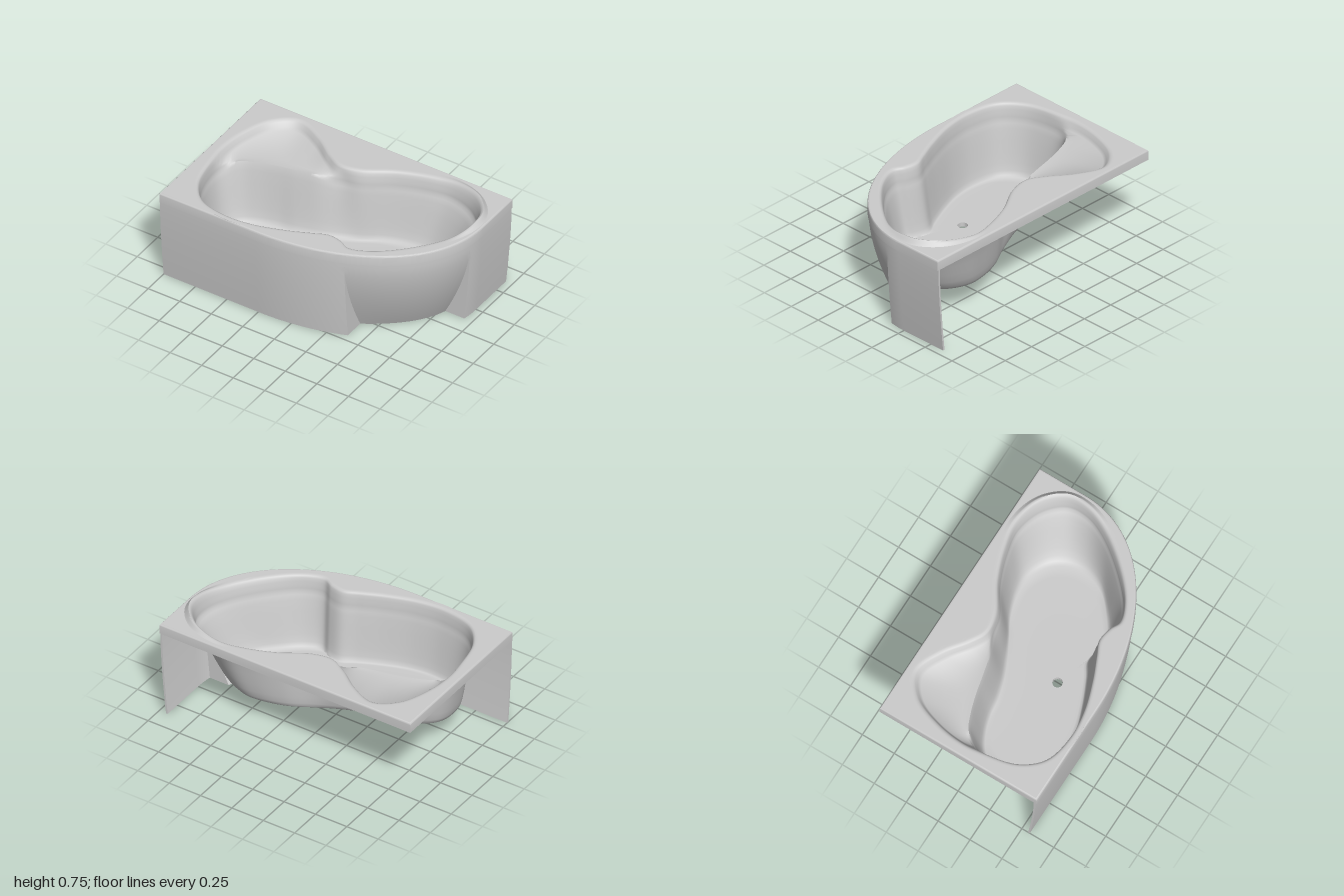
import * as THREE from 'three';
import { toCreasedNormals } from 'three/addons/utils/BufferGeometryUtils.js';

const { lerp, smoothstep } = THREE.MathUtils;
const material = new THREE.MeshStandardMaterial({ color: 0xcccccc, side: THREE.DoubleSide });
const TOP = 0.715, LIP = 0.64, FLOOR = 0.195, HALF = 0.615, STATIONS = 216;

// Rounded outer corner in plan, from the front to the right side
const corner = new THREE.CubicBezierCurve(
  new THREE.Vector2(-0.25, HALF), new THREE.Vector2(0.45, HALF),
  new THREE.Vector2(1, 0.25), new THREE.Vector2(1, -0.25));

// Paired plan stations (x, z): basin rim, top edge of the wall, edge of the floor
const rimXZ = [-.905, .13, -.92, -.03, -.89, -.24, -.8, -.45, -.65, -.55, -.45, -.475, -.29, -.36,
  -.165, -.295, -.02, -.32, .19, -.44, .41, -.52, .6, -.55, .8, -.49, .925, -.35, .935, -.19, .86, 0,
  .67, .24, .5, .375, .37, .42, .29, .385, .19, .37, .08, .415, -.07, .48, -.29, .55, -.5, .57,
  -.72, .52, -.85, .37];
const edgeXZ = [-.885, .13, -.86, .03, -.79, -.05, -.68, -.1, -.55, -.14, -.42, -.17, -.27, -.21,
  -.13, -.27, 0, -.3, .2, -.42, .41, -.495, .58, -.52, .77, -.46, .895, -.33, .905, -.18, .835, -.01,
  .65, .225, .49, .36, .362, .4, .285, .365, .19, .352, .08, .4, -.07, .465, -.29, .535, -.49, .555,
  -.71, .505, -.835, .36];
const floorXZ = [-.785, .2, -.765, .1, -.72, .04, -.62, -.02, -.5, -.06, -.37, -.08, -.23, -.12,
  -.1, -.175, .03, -.245, .16, -.315, .31, -.36, .45, -.365, .6, -.29, .67, -.18, .685, -.05, .63, .1,
  .49, .23, .4, .29, .32, .32, .25, .29, .16, .28, .06, .335, -.13, .42, -.3, .475, -.47, .49,
  -.65, .45, -.765, .33];

function sampleLoop(xz) {
  const points = [];
  for (let i = 0; i < xz.length; i += 2) points.push(new THREE.Vector3(xz[i], 0, xz[i + 1]));
  const curve = new THREE.CatmullRomCurve3(points, true);
  return Array.from({ length: STATIONS }, (_, i) => curve.getPoint(i / STATIONS));
}

// Surface through a list of closed rings with equal point counts
function loft(rings, crease) {
  const n = rings[0].length, index = [];
  for (let i = 0; i < rings.length - 1; i++) {
    for (let j = 0; j < n; j++) {
      const a = i * n + j, b = i * n + (j + 1) % n, c = a + n, d = b + n;
      index.push(a, c, b, b, c, d);
    }
  }
  const geometry = new THREE.BufferGeometry().setFromPoints(rings.flat());
  geometry.setIndex(index);
  return toCreasedNormals(geometry, crease);
}

function part(name, geometry) {
  const mesh = new THREE.Mesh(geometry, material);
  mesh.name = name;
  return mesh;
}

// Clockwise deck outline, inset by d
function outline(d) {
  const list = [[-1 + d, HALF - d], [-1 + d, -HALF + d], [1 - d, -HALF + d]]
    .map(([x, z]) => new THREE.Vector2(x, z));
  for (let i = 48; i >= 0; i--) {
    const g = corner.getTangent(i / 48);
    list.push(corner.getPoint(i / 48).addScaledVector(new THREE.Vector2(g.y, -g.x), d));
  }
  return list;
}

// Basin: raised lip, side shelf, walls and floor down to the drain hole
function basinRings() {
  const rim = sampleLoop(rimXZ), edge = sampleLoop(edgeXZ), floor = sampleLoop(floorXZ);
  const drain = new THREE.Vector3(-0.06, FLOOR, 0.19);
  const rings = [];
  const addRing = (fn) => rings.push(rim.map((_, j) => fn(j)));
  const normal = rim.map((_, j) => {
    const t = rim[(j + 1) % STATIONS].clone().sub(rim[(j + STATIONS - 1) % STATIONS]).normalize();
    return new THREE.Vector3(t.z, 0, -t.x);
  });
  const bump = (p) => 0.037 * smoothstep(p.x, 0.45, 0.93) * smoothstep(-p.z, -0.02, 0.33);
  const gap = rim.map((p, j) => p.distanceTo(edge[j]));
  const shelf = gap.map((d) => smoothstep(d, 0.03, 0.2));

  // lip, rising behind the head end
  for (const [offset, y, rise] of [[0.04, TOP, 0], [0.032, TOP, 0.2], [0.022, TOP, 0.65], [0.011, TOP - 0.001, 1], [0, TOP - 0.006, 1]]) {
    addRing((j) => rim[j].clone().addScaledVector(normal[j], offset).setY(y + rise * bump(rim[j])));
  }
  // drop from the lip: onto the shelf where it is wide, straight into the wall elsewhere
  for (const [reach, share, wallY, shelfY, rise] of [
    [0.012, 0.35, 0.695, 0.702, 0.8], [0.028, 0.6, 0.67, 0.672, 0.5], [0.05, 0.78, 0.645, 0.652, 0.3],
    [9, 0.85, 0.635, 0.64, 0.2], [9, 0.93, 0.618, 0.64, 0.1], [9, 1, 0.59, 0.642, 0]]) {
    addRing((j) => rim[j].clone().lerp(edge[j], Math.min(reach / gap[j], share))
      .setY(lerp(wallY, shelfY, shelf[j]) + rise * bump(rim[j])));
  }
  // wall and floor fillet
  for (const [f, h] of [[0.07, 0.955], [0.16, 0.86], [0.32, 0.65], [0.48, 0.43], [0.63, 0.24], [0.76, 0.105], [0.88, 0.03], [1, 0.004]]) {
    addRing((j) => edge[j].clone().lerp(floor[j], f)
      .setY(lerp(FLOOR, lerp(0.59, 0.642, shelf[j]), h)));
  }
  // floor
  for (const f of [0.1, 0.5, 1]) {
    addRing((j) => {
      const foot = floor[j].clone().setY(FLOOR);
      const hole = foot.clone().sub(drain).setLength(0.035).add(drain);
      return foot.lerp(hole, f);
    });
  }
  return rings;
}

// Front panel: leans in towards the base, with a sharp-sided foot recess at the corner
function panelGeometry() {
  const T0 = 0.334, T1 = 0.915, LEVELS = 18;
  // turn runs 0 to 1 as the panel swings from facing front to facing right
  const columns = [{ p: new THREE.Vector2(-1, HALF), turn: 0, cut: 0 }];
  const addCorner = (from, to, steps, cut) => {
    for (let i = 0; i <= steps; i++) {
      const t = lerp(from, to, i / steps);
      columns.push({ p: corner.getPoint(t), turn: THREE.MathUtils.clamp((t - T0) / (T1 - T0), 0, 1), cut });
    }
  };
  addCorner(0, T0, 20, 0);
  addCorner(T0, T1, 36, 0.15);
  addCorner(T1, 1, 6, 0);
  columns.push({ p: new THREE.Vector2(1, -HALF), turn: 1, cut: 0 });

  const ring = ({ p, turn, cut }, thickness) => {
    const angle = turn * Math.PI / 2;
    const at = (y, depth) => {
      const inset = 0.008 + 0.045 * Math.pow(1 - y / LIP, 1.5) + depth
        + cut * Math.pow(Math.max(0, 1 - y / 0.6), 1.6);
      return new THREE.Vector3(p.x - Math.sin(angle) * inset, y, p.y - Math.cos(angle) * inset);
    };
    const points = [];
    for (let k = 0; k <= LEVELS; k++) points.push(at(LIP * k / LEVELS, 0));
    for (let k = LEVELS; k >= 0; k--) points.push(at(LIP * k / LEVELS, thickness));
    return points;
  };
  const rings = columns.map((c) => ring(c, 0.014));
  rings.unshift(ring(columns[0], 0));
  rings.push(ring(columns[columns.length - 1], 0));
  return loft(rings, 0.5);
}

export function createModel() {
  const tub = new THREE.Group();
  tub.name = 'cornerBathtub';

  const rings = basinRings();
  tub.add(part('basin', loft(rings, 1.2)));

  // Flat deck around the basin
  const deckShape = new THREE.Shape(outline(0.012));
  deckShape.holes.push(new THREE.Path(rings[0].map((p) => new THREE.Vector2(p.x, p.z))));
  const deck = new THREE.ExtrudeGeometry(deckShape, { depth: 0.01, bevelEnabled: false });
  deck.rotateX(Math.PI / 2).translate(0, TOP, 0);
  tub.add(part('deck', deck));

  // Down-turned outer rim of the deck
  const rimProfile = [[0.012, 0.705], [0.012, LIP], [0, LIP], [0, 0.702], [0.001, 0.708], [0.005, 0.713], [0.012, TOP]];
  tub.add(part('outerRim', loft(rimProfile.map(([d, y]) =>
    outline(d).map((p) => new THREE.Vector3(p.x, y, p.y))), 0.6)));

  tub.add(part('frontPanel', panelGeometry()));

  // Drain collar under the floor
  const collar = new THREE.LatheGeometry(
    [[0.035, 0], [0.035, -0.03], [0.045, -0.03], [0.045, 0]].map(([r, y]) => new THREE.Vector2(r, y)), 32);
  const drain = part('drainCollar', toCreasedNormals(collar, 0.6));
  drain.position.set(-0.06, FLOOR - 0.001, 0.19);
  tub.add(drain);

  return tub;
}
